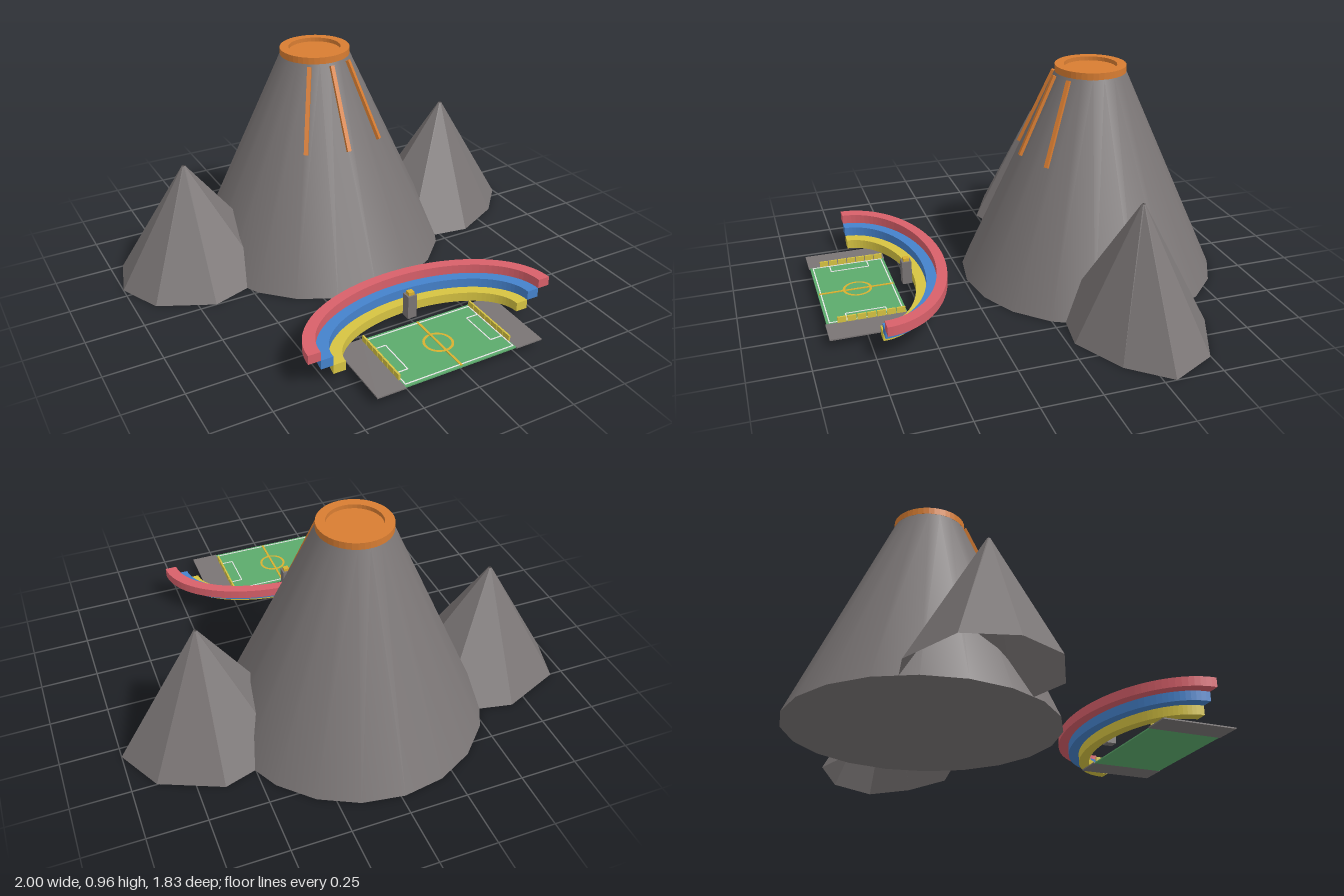
import * as THREE from 'three';

const mat = (name, color, side = THREE.FrontSide) => {
  const m = new THREE.MeshStandardMaterial({ color, side });
  m.name = name;
  return m;
};

export function createModel() {
  const rock = mat('rock grey', 0x7a7575, THREE.DoubleSide);
  const lava = mat('lava orange', 0xd87d32);
  const red = mat('stand red', 0xd8606a);
  const blue = mat('stand blue', 0x4582cc);
  const yellow = mat('stand yellow', 0xd6c342);
  const grass = mat('grass green', 0x5cab6c);
  const gold = mat('line gold', 0xd8b030);
  const white = mat('line white', 0xf0f0f0);

  const root = new THREE.Group();
  const CX = -0.017;
  const add = (name, geometry, material, x = 0, y = 0, z = 0, parent = root) => {
    const mesh = new THREE.Mesh(geometry, material);
    mesh.name = name;
    mesh.position.set(x, y, z);
    parent.add(mesh);
    return mesh;
  };
  const box = (name, w, h, d, material, x, y, z, parent) =>
    add(name, new THREE.BoxGeometry(w, h, d), material, x, y, z, parent);
  // Flat outline raised along y
  const slab = (shape, height, segments) => {
    const g = new THREE.ExtrudeGeometry(shape, { depth: height, bevelEnabled: false, curveSegments: segments });
    return g.rotateX(-Math.PI / 2);
  };

  // Volcano with recessed crater and three lava streams
  const volcano = new THREE.Group();
  volcano.name = 'volcano';
  volcano.position.set(CX, 0, -0.338);
  root.add(volcano);
  const H = 0.935, R0 = 0.576, R1 = 0.155;
  add('volcanoCone', new THREE.CylinderGeometry(R1, R0, H, 20), rock, 0, H / 2, 0, volcano);
  const rim = new THREE.Shape().absarc(0, 0, 0.156, 0, Math.PI * 2);
  rim.holes.push(new THREE.Path().absarc(0, 0, 0.116, 0, Math.PI * 2, true));
  add('craterRim', slab(rim, 0.03, 20), lava, 0, 0.932, 0, volcano);
  add('craterLava', new THREE.CylinderGeometry(0.117, 0.117, 0.008, 32), lava, 0, 0.94, 0, volcano);
  const slope = Math.atan2(R0 - R1, H);
  for (const a of [-0.6, 0, 0.6]) {
    const arm = new THREE.Group();
    arm.name = 'lavaStreamArm';
    arm.rotation.y = a;
    volcano.add(arm);
    const y = 0.748;
    const r = R0 - (R0 - R1) * y / H;
    const stream = box('lavaStream', 0.018, 0.38, 0.022, lava, 0, y, r + 0.002, arm);
    stream.rotation.x = -slope;
  }

  // Side peaks: open eight-sided shells with uneven feet
  const peak = (name, x, height, feet) => {
    const g = new THREE.CylinderGeometry(0.007, 1, height, 8, 1, true);
    const p = g.attributes.position;
    for (let i = 0; i <= 8; i++) {
      const [fx, fz] = feet[i % 8];
      p.setXYZ(9 + i, fx, -height / 2, fz);
    }
    const flat = g.toNonIndexed();
    flat.computeVertexNormals();
    add(name, flat, rock, x, height / 2, -0.3);
  };
  peak('rightPeak', -0.678, 0.54, [[0, 0.3], [0.27, 0.21], [0.42, 0], [0.31, -0.25],
    [0, -0.313], [-0.265, -0.203], [-0.322, 0], [-0.235, 0.187]]);
  peak('leftPeak', 0.64, 0.577, [[0, 0.273], [0.22, 0.16], [0.36, 0], [0.257, -0.198],
    [0, -0.313], [-0.283, -0.225], [-0.42, 0], [-0.289, 0.23]]);

  // Curved stands, stepping up and outwards
  [['lowerStand', yellow], ['middleStand', blue], ['upperStand', red]].forEach(([name, material], i) => {
    const rx = 0.406 + i * 0.0535, rz = 0.22 + i * 0.045;
    const s = new THREE.Shape();
    s.absellipse(0, 0, rx + 0.0535, rz + 0.045, 0, Math.PI, false);
    s.absellipse(0, 0, rx, rz, Math.PI, 0, true);
    add(name, slab(s, 0.041, 24), material, CX, 0.042 + i * 0.041, 0.71);
  });

  // Pitch, side platforms and fences
  const FZ = 0.738, FY = 0.038;
  box('pitch', 0.514, 0.006, 0.336, grass, CX, FY, FZ);
  for (const s of [-1, 1]) {
    box('sidePlatform', 0.124, 0.006, 0.346, rock, CX + s * 0.319, FY, FZ);
    for (let i = 0; i < 7; i++)
      box('fencePanel', 0.008, 0.026, 0.037, yellow, CX + s * 0.257, 0.053, 0.595 + i * 0.0412);
  }

  // Painted markings
  const LY = 0.0418;
  const line = (w, d, material, x, z) => box('pitchLine', w, 0.002, d, material, CX + x, LY, z);
  for (const s of [-1, 1]) {
    line(0.005, 0.31, white, s * 0.25, FZ);
    line(0.505, 0.005, white, 0, FZ + s * 0.155);
    line(0.005, 0.17, white, s * 0.195, FZ - 0.004);
    for (const e of [-1, 1]) line(0.055, 0.005, white, s * 0.2225, FZ - 0.004 + e * 0.085);
  }
  box('halfwayLine', 0.01, 0.003, 0.325, gold, CX, 0.0423, FZ);
  const ring = new THREE.RingGeometry(0.053, 0.064, 32).rotateX(-Math.PI / 2);
  add('centreCircle', ring, gold, CX, 0.0435, FZ - 0.004);

  // Small tower with a lamp on top
  box('tower', 0.042, 0.105, 0.042, rock, CX, 0.0925, 0.515);
  box('towerLamp', 0.026, 0.014, 0.026, gold, CX, 0.152, 0.515);

  return root;
}
